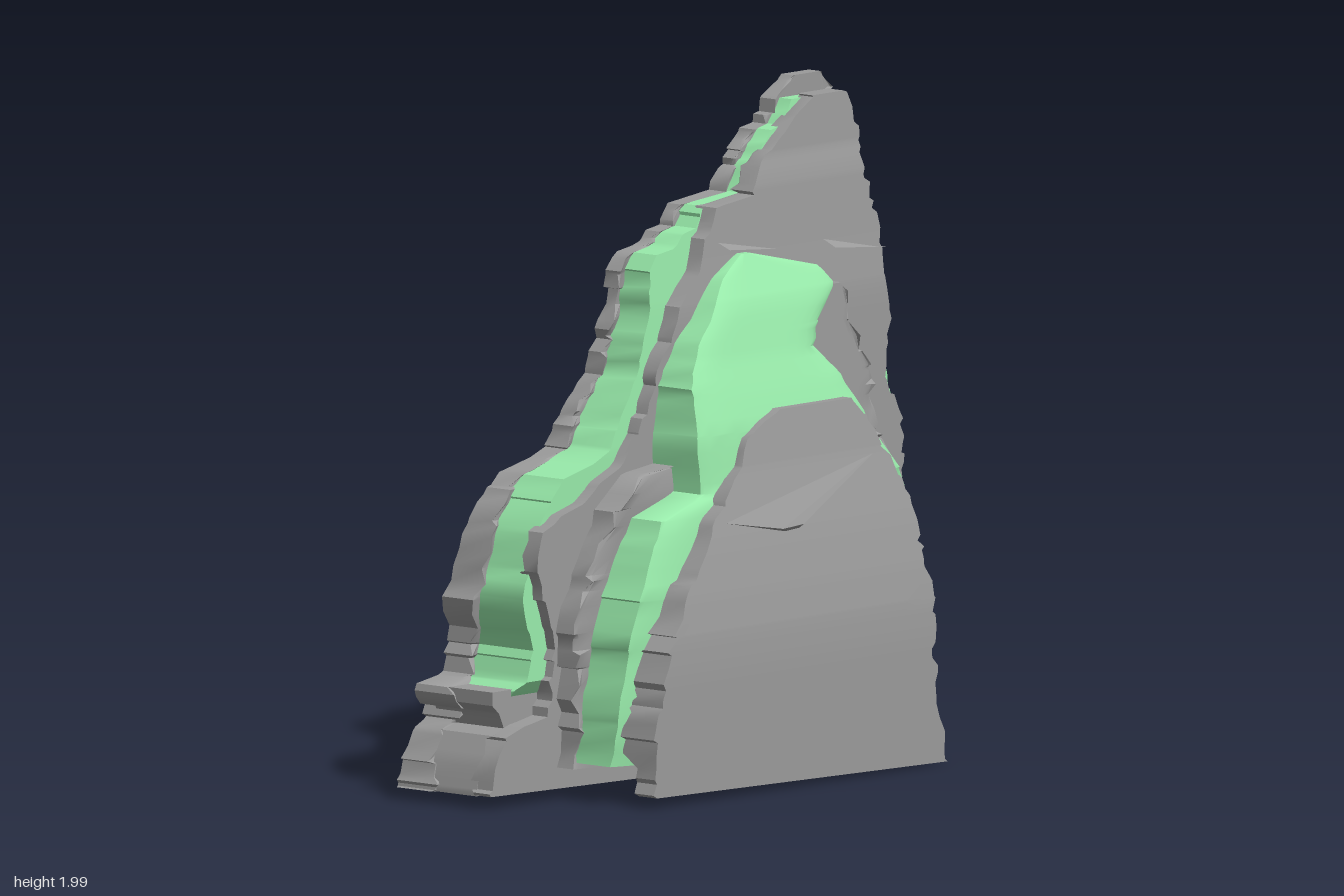
import * as THREE from 'three';
import { toCreasedNormals } from 'three/addons/utils/BufferGeometryUtils.js';
import { ConvexGeometry } from 'three/addons/geometries/ConvexGeometry.js';

const stone = new THREE.MeshStandardMaterial({ color: 0x9b9b9b });
const moss = new THREE.MeshStandardMaterial({ color: 0x98eaaa });

// Piecewise linear lookup in a list of [y, value] pairs
function at(table, y) {
  if (y <= table[0][0]) return table[0][1];
  for (let i = 1; i < table.length; i++) {
    const [y0, v0] = table[i - 1], [y1, v1] = table[i];
    if (y <= y1) return v0 + (v1 - v0) * (y - y0) / (y1 - y0);
  }
  return table[table.length - 1][1];
}
const shift = (table, d) => table.map(([y, v]) => [y, v + d]);

// Repeatable roughness between -1 and 1
function rough(n, seed) {
  const s = Math.sin(n * 127.1 + seed * 311.7) * 43758.5453;
  return 2 * (s - Math.floor(s)) - 1;
}

// Layer of rock lofted upward: left and right edges, front and back depth, all by height
function layer(name, { y0, y1, left, right, front, back, jag = 0.012, teethFront = 0, teethBack = 0, bulge = 0,
  hollow = () => 0, seed = 1, mat = stone, open = false }) {
  const cols = 14, ring = 2 * (cols + 1), pos = [], idx = [];
  const ys = [y0, y1];
  for (const [y] of [...left, ...right]) if (y > y0 && y < y1) ys.push(y);
  for (let y = y0 + 0.045; y < y1; y += 0.045) ys.push(y);
  const rows = [...new Set(ys)].sort((a, b) => a - b).filter((y, i, a) => !i || y - a[i - 1] > 0.004);
  rows.forEach((y, r) => {
    const xl = at(left, y) + jag * rough(r, seed), xr = at(right, y) + jag * rough(r, seed + 1);
    const zf = at(front, y), zb = at(back, y);
    for (let k = 0; k < ring; k++) {
      const isFront = k <= cols, c = isFront ? k : ring - 1 - k;
      // Columns crowd toward the broken edges
      const u = 0.5 - 0.5 * Math.cos(Math.PI * c / cols);
      const x = xl + (xr - xl) * u, side = Math.abs(2 * u - 1), rim = side ** 40;
      const round = bulge * side ** 8 * Math.min(1, (zf - zb) * 4);
      const z = isFront
        ? zf - round + teethFront * rim * rough(r, seed + 2)
        : zb + round + hollow(x, y) + teethBack * rim * rough(r, seed + 3);
      // The foot slopes gently down to the right
      const tilt = 0.017 * (1 - x / 0.8) * Math.max(0, 1 - y / 0.3);
      pos.push(x, y + tilt, z);
    }
  });
  for (let r = 0; r < rows.length - 1; r++) for (let k = 0; k < ring; k++) {
    const a = r * ring + k, b = r * ring + (k + 1) % ring;
    idx.push(a, b, b + ring, a, b + ring, a + ring);
  }
  const top = (rows.length - 1) * ring;
  for (let k = 0; k < cols; k++) {
    const f = k, g = k + 1, bg = ring - 2 - k, bf = ring - 1 - k;
    idx.push(top + f, top + g, top + bg, top + f, top + bg, top + bf);
    if (!open) idx.push(f, bg, g, f, bf, bg);
  }
  const geo = new THREE.BufferGeometry();
  geo.setAttribute('position', new THREE.Float32BufferAttribute(pos, 3));
  geo.setIndex(idx);
  const mesh = new THREE.Mesh(toCreasedNormals(geo, 0.65), mat);
  mesh.name = name;
  return mesh;
}

// Tall rear slab: edges and depths
const rearLeft = [[0.02, -0.91], [0.1, -0.89], [0.2, -0.84], [0.22, -0.79], [0.27, -0.81], [0.3, -0.84], [0.34, -0.84],
  [0.355, -0.74], [0.45, -0.71], [0.6, -0.75], [0.68, -0.72], [0.8, -0.68], [0.88, -0.62], [0.94, -0.57], [0.97, -0.44],
  [1.0, -0.37], [1.1, -0.31], [1.2, -0.24], [1.3, -0.2], [1.4, -0.17], [1.5, -0.16], [1.55, -0.13], [1.56, -0.05],
  [1.6, 0], [1.61, 0.05], [1.67, 0.09], [1.69, 0.27], [1.78, 0.33], [1.86, 0.4], [1.87, 0.45], [1.95, 0.5], [2, 0.57]];
const rearRight = [[0.01, 0.72], [0.03, 0.77], [0.1, 0.8], [0.2, 0.83], [0.24, 0.88], [0.3, 0.88], [0.36, 0.83], [0.42, 0.8],
  [0.5, 0.8], [0.6, 0.84], [0.68, 0.88], [0.9, 0.9], [1.0, 0.905], [1.06, 0.89], [1.15, 0.87], [1.25, 0.87], [1.33, 0.885],
  [1.45, 0.86], [1.57, 0.83], [1.65, 0.83], [1.75, 0.8], [1.8, 0.81], [1.83, 0.77], [1.9, 0.76], [1.94, 0.73], [2, 0.7]];
const rearFace = [[0, 0.01], [1.38, 0.01], [1.5, -0.004], [1.6, -0.014], [1.72, -0.024], [1.8, -0.045], [1.95, -0.055]];
const rearFaceBack = [[0, -0.07], [0.2, -0.06], [0.28, -0.1], [0.36, -0.04], [0.7, -0.05], [1, -0.05], [1.4, -0.07],
  [1.7, -0.095], [1.95, -0.115]];
const rearBack = [[0, -0.352], [0.28, -0.348], [0.4, -0.338], [0.55, -0.322], [0.7, -0.303], [0.9, -0.276], [1.15, -0.24],
  [1.4, -0.212], [1.6, -0.2], [2, -0.185]];
const rearGap = [[0, -0.2], [0.2, -0.25], [0.28, -0.18], [0.38, -0.245], [0.6, -0.195], [1, -0.19], [1.4, -0.165],
  [1.7, -0.145], [2, -0.14]];
const faceLeft = [[0.02, -0.91], [0.2, -0.84], [0.23, -0.76], [0.25, -0.66], [0.45, -0.63], [0.6, -0.68], [0.68, -0.71],
  [0.8, -0.68], [0.84, -0.6], [0.87, -0.5], [0.92, -0.42], [0.97, -0.33], [1.05, -0.26], [1.2, -0.19], [1.3, -0.13],
  [1.4, -0.08], [1.48, 0], [1.62, 0.08], [1.67, 0.1], [1.69, 0.27], [1.78, 0.33], [1.84, 0.42], [1.9, 0.5], [1.95, 0.57]];
const faceRight = [[0.01, 0.72], [0.03, 0.77], [0.1, 0.8], [0.2, 0.82], [0.25, 0.88], [0.3, 0.88], [0.36, 0.82], [0.42, 0.75],
  [0.52, 0.78], [0.68, 0.87], [0.9, 0.89], [1.0, 0.88], [1.1, 0.8], [1.2, 0.82], [1.3, 0.83], [1.45, 0.81], [1.6, 0.79],
  [1.7, 0.76], [1.8, 0.76], [1.9, 0.74], [1.95, 0.7]];
// Groove moss stays inside the stone knob at the lower left
const grooveLeft = shift(rearLeft, 0.02).map(([y, x]) => [y, Math.max(x, -0.75)]);
// Shallow weathered hollow across the middle of the back
const backHollow = (x, y) => 0.018 * Math.exp(-(((x + 0.05) / 0.4) ** 2) - (((y - 0.6) / 0.15) ** 2));

// Low front slab: edges and depths
const frontLeft = [[0.02, -0.57], [0.25, -0.57], [0.3, -0.55], [0.45, -0.51], [0.55, -0.44], [0.62, -0.4], [0.67, -0.35],
  [0.8, -0.25], [0.85, -0.19], [0.95, -0.08], [1.03, -0.04], [1.07, 0.05], [1.09, 0.1], [1.1, 0.13]];
const frontRight = [[0.01, 0.69], [0.07, 0.69], [0.2, 0.66], [0.35, 0.64], [0.5, 0.65], [0.65, 0.62], [0.8, 0.6],
  [0.92, 0.55], [1.0, 0.5], [1.05, 0.47], [1.1, 0.44]];
const frontFace = [[0, 0.355], [0.4, 0.355], [0.5, 0.349], [0.6, 0.334], [0.75, 0.303], [0.95, 0.25], [1.1, 0.222]];
const frontGap = [[0, 0.3], [0.09, 0.29], [0.14, 0.23], [0.5, 0.24], [0.8, 0.2], [1.1, 0.15]];
const mossLeft = [[0.1, -0.6], [0.25, -0.59], [0.45, -0.55], [0.6, -0.5], [0.7, -0.45], [0.82, -0.38], [0.88, -0.2],
  [1.05, -0.2], [1.2, -0.17], [1.3, -0.1], [1.42, 0.02], [1.47, 0.07], [1.53, 0.18]];
const mossRight = [[0.07, 0.7], [0.25, 0.69], [0.45, 0.7], [0.55, 0.71], [0.75, 0.69], [0.87, 0.66], [1.0, 0.55],
  [1.16, 0.46], [1.25, 0.38], [1.32, 0.42], [1.42, 0.52], [1.47, 0.48], [1.53, 0.22]];
const mossFace = [[0, 0.22], [0.2, 0.25], [0.6, 0.26], [0.8, 0.24], [1.05, 0.21], [1.15, 0.175], [1.25, 0.135], [1.4, 0.09],
  [1.53, 0.015]];
const shoulderLeft = [[0.08, -0.61], [0.45, -0.61], [0.5, -0.63], [0.65, -0.56], [0.85, -0.45], [0.94, -0.33], [0.96, -0.15],
  [1.1, 0.1], [1.14, 0.38], [1.2, 0.42], [1.25, 0.36], [1.41, 0.44]];
const shoulderRight = [[0.08, 0.73], [0.2, 0.72], [0.4, 0.73], [0.65, 0.78], [0.8, 0.77], [0.95, 0.71], [1.15, 0.68],
  [1.3, 0.59], [1.41, 0.57]];

export function createModel() {
  const model = new THREE.Group();
  model.name = 'mossyRock';

  // Rear slab: two stone sheets with moss in the groove between them
  model.add(layer('rearSlabFace', { y0: 0.01, y1: 1.95, left: faceLeft, right: faceRight, front: rearFace,
    back: rearFaceBack, teethBack: 0.02, seed: 3 }));
  model.add(layer('rearSlabBack', { y0: 0.005, y1: 2, left: rearLeft, right: rearRight, front: rearGap,
    back: rearBack, hollow: backHollow, teethFront: 0.02, jag: 0.013, seed: 9 }));
  model.add(layer('rearMoss', { y0: 0.02, y1: 1.94, left: grooveLeft, right: shift(rearRight, -0.015),
    front: shift(rearFaceBack, 0.02), back: shift(rearGap, -0.02), jag: 0.005, mat: moss, seed: 14 }));
  // Stone foot and knob filling the lower left of the groove
  model.add(layer('rearFoot', { y0: 0.006, y1: 0.34, left: shift(rearLeft, 0.005), right: shift(rearRight, -0.06),
    front: [[0, -0.05]], back: [[0, -0.3]], jag: 0, seed: 2 }));

  // Front slab: shoulder behind, mossy mound, stone face
  model.add(layer('frontShoulder', { y0: 0.08, y1: 1.41, left: shoulderLeft, right: shoulderRight,
    front: [[0, 0.08], [0.7, 0.08], [0.88, 0.095], [1, 0.075], [1.41, 0.06]], back: [[0, -0.01]], teethFront: 0.02, seed: 21 }));
  model.add(layer('frontMoss', { y0: 0.1, y1: 1.53, left: mossLeft, right: mossRight, front: mossFace,
    back: [[0, -0.02]], bulge: 0.03, jag: 0.006, mat: moss, seed: 26, open: true }));
  // The face is undercut along its foot
  model.add(layer('frontSlabFace', { y0: 0.01, y1: 1.1, left: frontLeft, right: frontRight, front: frontFace,
    back: frontGap, hollow: (x, y) => (y < 0.12 && x > -0.54 && x < 0.66 ? 0.045 : 0), teethBack: 0.02, seed: 31 }));

  // Narrow broken ledge across the front face
  const v = (x, y, z) => new THREE.Vector3(x, y, z);
  const ledge = new THREE.Mesh(new ConvexGeometry([v(-0.24, 0.81, 0.284), v(0.03, 0.765, 0.314), v(0.12, 0.77, 0.313),
    v(0.5, 0.94, 0.252), v(0.1, 0.81, 0.28), v(0.1, 0.73, 0.27)]), stone);
  ledge.name = 'frontLedge';
  model.add(ledge);

  // Sharp split chips on the upper part of the rear slab face
  for (const [x, y, z, w] of [[0.69, 1.51, 0.002, 0.14], [0.25, 1.55, -0.004, 0.16]]) {
    const chip = new THREE.Mesh(new ConvexGeometry([v(x - w, y + 0.03, z - 0.015), v(x + w, y - 0.03, z - 0.006),
      v(x - w * 0.7, y - 0.005, z + 0.01), v(x, y, z - 0.03)]), stone);
    chip.name = 'faceChip';
    model.add(chip);
  }

  // Flat moss patches on the back: x, y, half width, half height, tilt
  for (const [x, y, w, h, tilt] of [[0.58, 1.15, 0.1, 0.06, 0], [0.46, 1.15, 0.09, 0.018, 0], [-0.02, 1.0, 0.21, 0.032, -0.08],
    [-0.07, 0.64, 0.29, 0.038, 0.28]]) {
    const patch = new THREE.Mesh(new THREE.SphereGeometry(1, 16, 10), moss);
    patch.name = 'backMossPatch';
    patch.scale.set(w, h, 0.011);
    patch.rotation.set(0.14, 0, tilt);
    patch.position.set(x, y, at(rearBack, y) + backHollow(x, y));
    model.add(patch);
  }
  return model;
}
